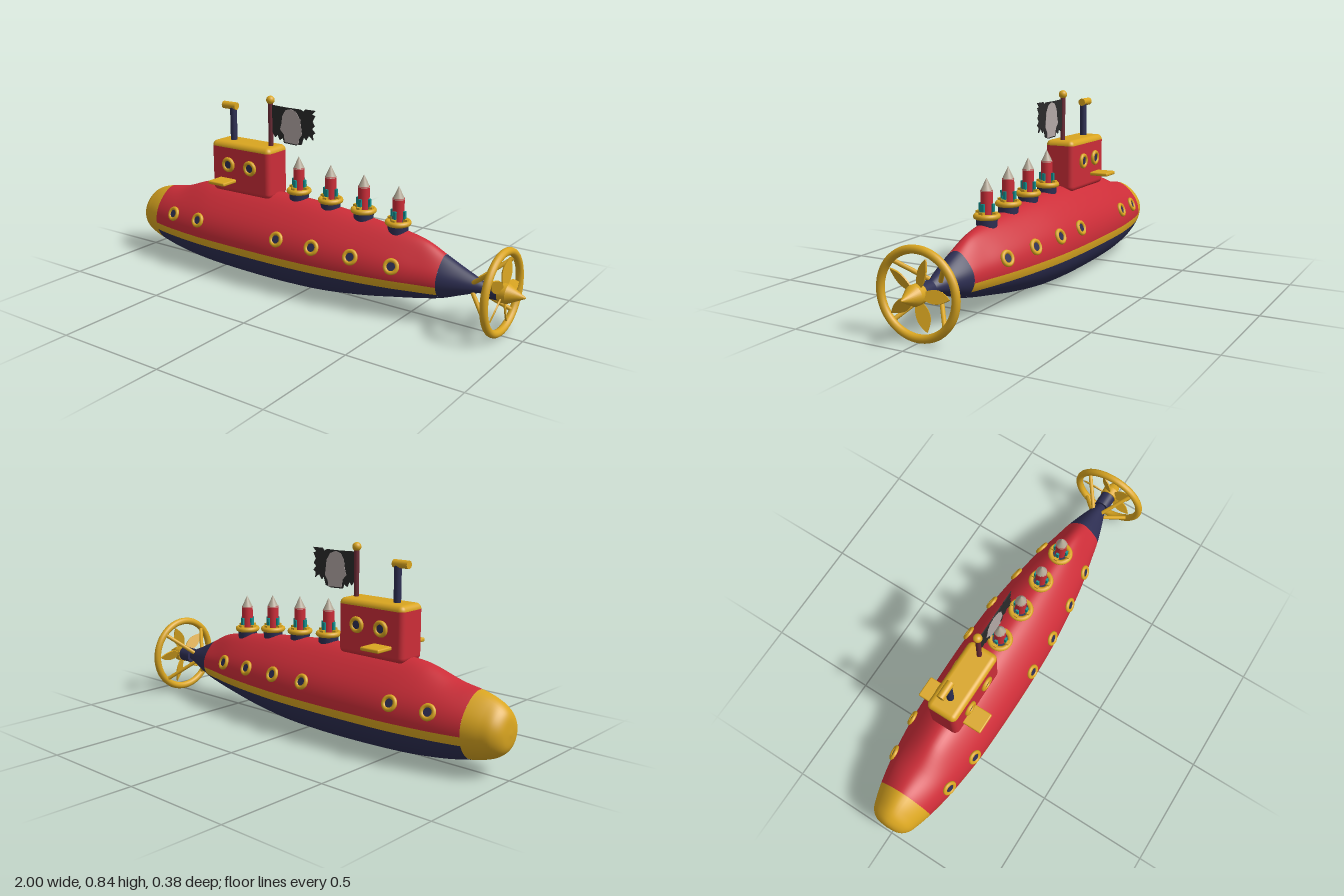
import * as THREE from 'three';
import { RoundedBoxGeometry } from 'three/addons/geometries/RoundedBoxGeometry.js';

const mat = (name, color, side = THREE.FrontSide) => Object.assign(new THREE.MeshStandardMaterial({ color, side }), { name });
const V = (x, y, z) => new THREE.Vector3(x, y, z);
const CY = 0.185; // height of the hull axis

// Hull stations: x, top, bottom, half width
const rows = [
  [-1, .185, .185, 0], [-.992, .25, .125, .055], [-.965, .287, .092, .09], [-.92, .313, .07, .109],
  [-.855, .331, .054, .128], [-.75, .348, .033, .15], [-.62, .392, .017, .167], [-.5, .405, .009, .177],
  [-.3, .409, .003, .182], [-.1, .407, .003, .182], [.1, .395, .012, .174], [.3, .375, .037, .152],
  [.45, .356, .064, .128], [.56, .333, .084, .103], [.65, .29, .105, .083], [.73, .252, .135, .058],
  [.8, .222, .16, .033], [.83, .207, .165, .022],
];
const spline = (f) => new THREE.CatmullRomCurve3(rows.map(f), false, 'catmullrom', 0.5);
const heights = spline((r) => V(r[0], r[1], r[2]));
const widths = spline((r) => V(r[0], r[3], 0));
const station = (i) => i / (rows.length - 1);

// Point on the hull: a is measured from the top towards +z
function hullPoint(u, a) {
  const h = heights.getPoint(u), w = widths.getPoint(u).y, c = Math.cos(a);
  const y = c > 0 ? CY + w * c + (h.y - CY - w) * c ** 6 : CY + (CY - h.z) * c;
  return V(h.x, y, w * Math.sin(a));
}
function hullNormal(u, a) {
  const e = 0.002, u0 = Math.max(0, u - e), u1 = Math.min(1, u + e);
  const du = hullPoint(u1, a).sub(hullPoint(u0, a));
  const da = hullPoint(u, a + e).sub(hullPoint(u, a - e));
  const n = da.cross(du);
  return n.lengthSq() < 1e-16 ? V(-1, 0, 0) : n.normalize();
}
// Angle at which the lower hull reaches height y
const angleAt = (u, y) => Math.acos((y - CY) / (CY - heights.getPoint(u).z));
function uAtX(x) {
  let lo = 0, hi = 1;
  for (let i = 0; i < 40; i++) {
    const m = (lo + hi) / 2;
    if (heights.getPoint(m).x < x) lo = m; else hi = m;
  }
  return lo;
}
// Skin patch between two stations and two angles (functions of u)
function hullPatch(u0, u1, from, to, nu, na) {
  const pos = [], nor = [], idx = [];
  for (let i = 0; i <= nu; i++) {
    const u = u0 + (u1 - u0) * i / nu, a0 = from(u), a1 = to(u);
    for (let j = 0; j <= na; j++) {
      const a = a0 + (a1 - a0) * j / na, k = i * (na + 1) + j;
      pos.push(...hullPoint(u, a).toArray());
      nor.push(...hullNormal(u, a).toArray());
      if (i < nu && j < na) idx.push(k, k + 1, k + na + 1, k + 1, k + na + 2, k + na + 1);
    }
  }
  const g = new THREE.BufferGeometry();
  g.setAttribute('position', new THREE.Float32BufferAttribute(pos, 3));
  g.setAttribute('normal', new THREE.Float32BufferAttribute(nor, 3));
  g.setIndex(idx);
  return g;
}

export function createModel() {
  const root = new THREE.Group();
  root.name = 'submarine';
  const red = mat('hullRed', 0xcc2d38), navy = mat('navy', 0x2d2e52), gold = mat('gold', 0xd9a520);
  const maroon = mat('mastMaroon', 0x6b2a35), teal = mat('teal', 0x14908f), tip = mat('tipIvory', 0xb5aa98);
  const black = mat('flagBlack', 0x2a2a2a, THREE.DoubleSide), grey = mat('emblemGrey', 0xb3a8a6, THREE.DoubleSide);

  const add = (name, geo, material, p = [0, 0, 0], parent = root) => {
    const m = new THREE.Mesh(geo, material);
    m.name = name;
    m.position.set(...p);
    parent.add(m);
    return m;
  };
  const cyl = (r0, r1, h, n = 24) => new THREE.CylinderGeometry(r0, r1, h, n);
  const rod = (name, a, b, r, material) => {
    const d = b.clone().sub(a);
    const m = add(name, cyl(r, r, d.length(), 12), material, a.clone().add(b).multiplyScalar(.5).toArray());
    m.quaternion.setFromUnitVectors(V(0, 1, 0), d.normalize());
  };

  // Hull: nose cap, red upper, gold stripe, navy belly, navy tail
  const nose = station(4), tail = station(14), PI = Math.PI;
  const hi = (u) => angleAt(u, .172), lo = (u) => angleAt(u, .135);
  add('noseCap', hullPatch(0, nose, () => -PI, () => PI, 24, 48), gold);
  add('upperHull', hullPatch(nose, tail, (u) => -hi(u), hi, 60, 48), red);
  add('stripeLeft', hullPatch(nose, tail, hi, lo, 60, 3), gold);
  add('stripeRight', hullPatch(nose, tail, (u) => -lo(u), (u) => -hi(u), 60, 3), gold);
  add('belly', hullPatch(nose, tail, lo, (u) => 2 * PI - lo(u), 60, 30), navy);
  add('tailCone', hullPatch(tail, 1, () => -PI, () => PI, 20, 48), navy);

  // Portholes: gold rim with a dark pane
  const porthole = (p, normal) => {
    const g = new THREE.Group();
    g.name = 'porthole';
    add('rim', new THREE.TorusGeometry(.026, .009, 10, 28), gold, [0, 0, .003], g);
    add('pane', cyl(.025, .025, .008), navy, [0, 0, .002], g).rotation.x = PI / 2;
    g.position.copy(p);
    g.quaternion.setFromUnitVectors(V(0, 0, 1), normal);
    root.add(g);
  };
  [[-.72, .245], [-.55, .25], [-.085, .252], [.098, .25], [.283, .242], [.465, .232]].forEach(([x, y]) => {
    const u = uAtX(x), a = Math.acos(Math.min(1, (y - CY) / widths.getPoint(u).y));
    for (const s of [1, -1]) porthole(hullPoint(u, s * a), hullNormal(u, s * a));
  });
  for (const x of [-.43, -.305]) for (const s of [1, -1]) porthole(V(x, .516, s * .072), V(0, 0, s));

  // Conning tower: rounded box whose top rim is gold
  const box = new RoundedBoxGeometry(.335, .235, .14, 5, .024);
  const src = box.attributes.position, part = [[], []];
  for (let i = 0; i < src.count; i += 3) {
    const isTop = [0, 1, 2].every((k) => src.getY(i + k) > .1175 - .0245);
    part[isTop ? 1 : 0].push(i, i + 1, i + 2);
  }
  box.setIndex([...part[0], ...part[1]]);
  box.clearGroups();
  box.addGroup(0, part[0].length, 0);
  box.addGroup(part[0].length, part[1].length, 1);
  add('conningTower', box, [red, gold], [-.3675, .5, 0]);
  for (const s of [1, -1]) add('divePlane', new RoundedBoxGeometry(.095, .016, .1, 3, .006), gold, [-.4375, .443, s * .106]);

  // Periscope
  add('periscopeTube', cyl(.0155, .0155, .17), navy, [-.455, .695, 0]);
  add('periscopeHead', cyl(.017, .017, .075), gold, [-.473, .774, 0]).rotation.z = PI / 2;

  // Mast, ball and ragged flag
  add('mast', cyl(.011, .011, .21, 16), maroon, [-.24, .715, 0]);
  add('mastBall', new THREE.SphereGeometry(.019, 20, 14), gold, [-.24, .824, 0]);
  const plate = (name, pts, depth, material) => {
    const shape = new THREE.Shape(pts.map((p) => new THREE.Vector2(...p)));
    add(name, new THREE.ExtrudeGeometry(shape, { depth, bevelEnabled: false }), material, [0, 0, -depth / 2]);
  };
  plate('flag', [[-.232, .803], [-.15, .8], [-.075, .8], [-.06, .792], [-.05, .803], [.004, .803], [-.014, .785], [.002, .78],
    [-.012, .755], [0, .735], [-.014, .722], [.002, .705], [-.01, .695], [-.008, .672], [-.03, .69], [-.045, .668],
    [-.058, .68], [-.07, .645], [-.1, .638], [-.165, .64], [-.172, .66], [-.19, .65], [-.2, .672], [-.215, .66], [-.232, .685]], .004, black);
  plate('flagEmblem', [[-.16, .645], [-.085, .642], [-.082, .668], [-.066, .69], [-.07, .715], [-.075, .755], [-.095, .785],
    [-.125, .797], [-.155, .788], [-.172, .762], [-.178, .725], [-.186, .7], [-.165, .678]], .007, grey);

  // Four rockets in deck launchers
  [[-.085, .435], [.085, .422], [.255, .407], [.425, .384]].forEach(([x, y]) => {
    const g = new THREE.Group();
    g.name = 'rocket';
    g.position.set(x, y, 0);
    root.add(g);
    add('launcherCup', cyl(.044, .042, .07), navy, [0, -.03, 0], g);
    add('launcherRing', new THREE.TorusGeometry(.044, .012, 10, 32), gold, [0, 0, 0], g).rotation.x = PI / 2;
    add('rocketBody', cyl(.025, .025, .11), red, [0, .05, 0], g);
    add('rocketTip', new THREE.ConeGeometry(.026, .055, 24), tip, [0, .1285, 0], g);
    for (let k = 0; k < 4; k++) {
      const arm = new THREE.Group();
      arm.name = 'clamp';
      arm.rotation.y = k * PI / 2;
      g.add(arm);
      add('clampPost', new THREE.BoxGeometry(.009, .055, .014), teal, [.03, .025, 0], arm);
      add('clampFoot', new THREE.BoxGeometry(.018, .016, .018), gold, [.038, .012, 0], arm);
    }
  });

  // Propeller guard and struts
  add('propellerGuard', new THREE.TorusGeometry(.166, .0165, 14, 64), gold, [.903, CY, 0]).rotation.y = PI / 2;
  for (let k = 0; k < 4; k++) {
    const a = PI / 4 + k * PI / 2, at = (x, r) => V(x, CY + r * Math.sin(a), r * Math.cos(a));
    rod('guardStrut', at(.785, .028), at(.9, .162), .009, gold);
  }

  // Shaft, hub and spinner
  const alongX = (name, r0, r1, x0, x1, material) =>
    add(name, cyl(r1, r0, x1 - x0, 28), material, [(x0 + x1) / 2, CY, 0]).rotation.z = -PI / 2;
  alongX('shaft', .035, .035, .83, .9, navy);
  alongX('hub', .04, .04, .895, .928, gold);
  alongX('spinner', .04, .003, .928, 1, gold);

  // Five petal blades, pitched a little
  const petal = new THREE.Shape();
  petal.moveTo(-.01, .025);
  petal.bezierCurveTo(-.035, .07, -.035, .1, 0, .143);
  petal.bezierCurveTo(.03, .1, .03, .07, .01, .025);
  const blade = new THREE.ExtrudeGeometry(petal, { depth: .006, bevelEnabled: false, curveSegments: 10 });
  blade.translate(0, 0, -.003).rotateY(PI / 2 - .4);
  for (let k = 0; k < 5; k++) {
    add('propellerBlade', blade, gold, [.908, CY, 0]).rotation.x = -PI / 2 + k * PI * 2 / 5;
  }
  return root;
}
